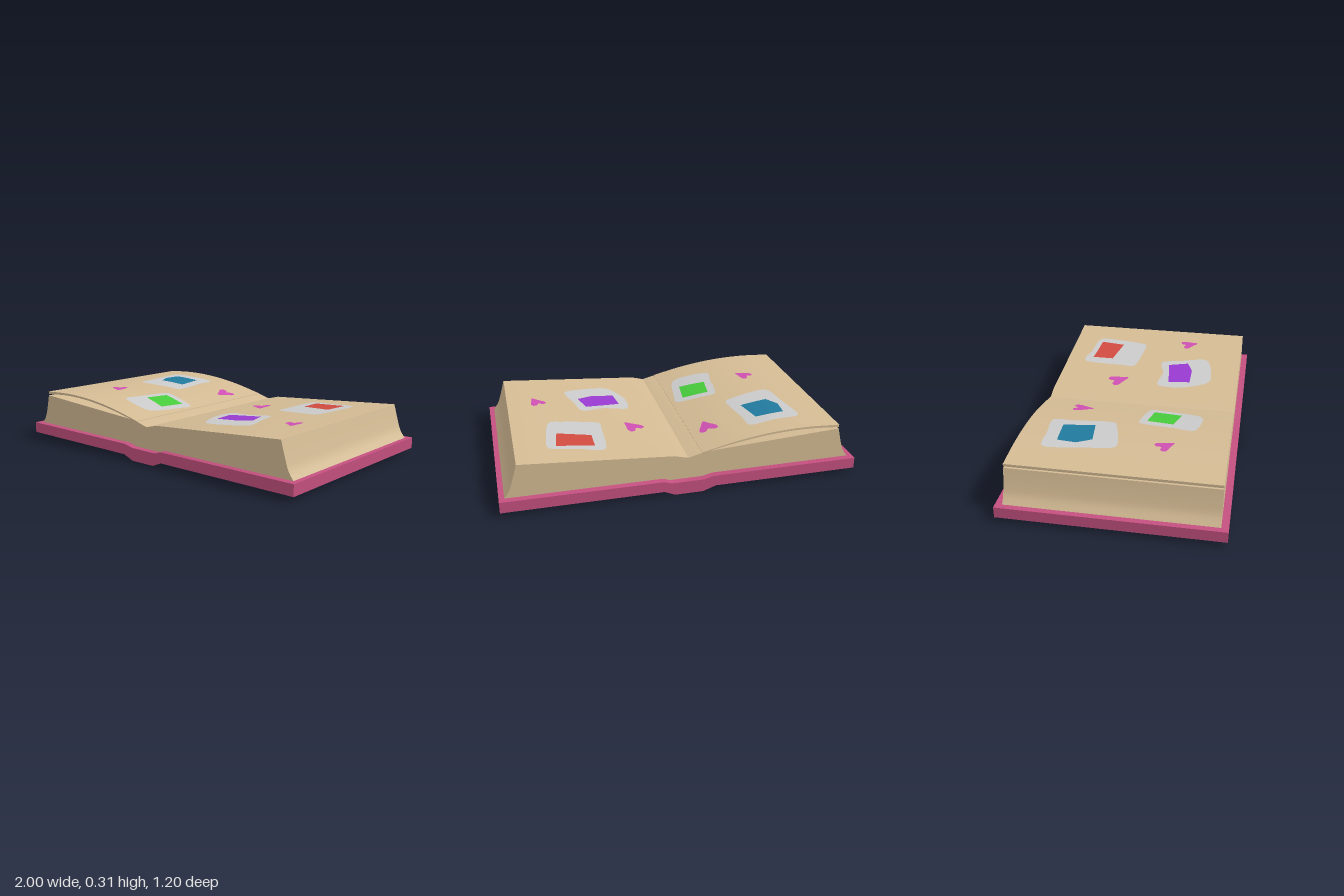
import * as THREE from 'three';
import { toCreasedNormals } from 'three/addons/utils/BufferGeometryUtils.js';

const material = (name, color, side = THREE.FrontSide) => {
  const m = new THREE.MeshStandardMaterial({ color, side });
  m.name = name;
  return m;
};
const v2 = ([x, y]) => new THREE.Vector2(x, y);
const smooth = (pts, n) => new THREE.SplineCurve(pts.map(v2)).getPoints(n).map(p => [p.x, p.y]);

// Closed x-y cross-section swept along z, centred on z = 0
function sweep(name, profile, depth, mat) {
  const geo = new THREE.ExtrudeGeometry(new THREE.Shape(profile.map(v2)), { depth, bevelEnabled: false });
  geo.translate(0, 0, -depth / 2);
  const mesh = new THREE.Mesh(toCreasedNormals(geo, 0.35), mat);
  mesh.name = name;
  return mesh;
}

// Height of a left-to-right polyline at x
function heightAt(line, x) {
  for (let i = 1; i < line.length; i++) {
    const [x0, y0] = line[i - 1], [x1, y1] = line[i];
    if (x <= x1) return y0 + (y1 - y0) * (x - x0) / (x1 - x0);
  }
  return line[line.length - 1][1];
}

// Flat x-z outline laid over the page surface, built as rings around its centre
function decal(name, outline, surface, lift, mat) {
  const n = outline.length, rings = 8, pos = [], index = [];
  const cx = outline.reduce((s, p) => s + p[0], 0) / n;
  const cz = outline.reduce((s, p) => s + p[1], 0) / n;
  for (let r = 0; r <= rings; r++) {
    for (const [px, pz] of outline) {
      const x = cx + (px - cx) * r / rings, z = cz + (pz - cz) * r / rings;
      pos.push(x, heightAt(surface, x) + lift, z);
    }
  }
  for (let r = 0; r < rings; r++) {
    for (let i = 0; i < n; i++) {
      const a = r * n + i, b = r * n + (i + 1) % n, c = a + n, d = b + n;
      if (r > 0) index.push(a, b, d);
      index.push(a, d, c);
    }
  }
  const geo = new THREE.BufferGeometry();
  geo.setAttribute('position', new THREE.Float32BufferAttribute(pos, 3));
  geo.setIndex(index);
  geo.computeVertexNormals();
  const mesh = new THREE.Mesh(geo, mat);
  mesh.name = name;
  return mesh;
}

// Rounded closed outline through a few corners
const blob = pts => new THREE.CatmullRomCurve3(
  pts.map(([x, z]) => new THREE.Vector3(x, 0, z)), true, 'catmullrom', 0.4
).getPoints(40).slice(0, -1).map(p => [p.x, p.z]);

// Straight sides split into short steps so they follow the page
const straight = pts => pts.flatMap(([x, z], i) => {
  const [x1, z1] = pts[(i + 1) % pts.length];
  return [0, 1, 2, 3, 4, 5].map(k => [x + (x1 - x) * k / 6, z + (z1 - z) * k / 6]);
});

// Heart outline, tip towards +z before turning
function heart(x, z, turn, size) {
  const half = [[0, -0.28], [0.2, -0.48], [0.43, -0.44], [0.45, -0.2], [0.24, 0.16]];
  const pts = [...half, [0, 0.55], ...half.slice(1).reverse().map(([a, b]) => [-a, b])];
  const c = Math.cos(turn), s = Math.sin(turn);
  return blob(pts.map(([a, b]) => [x + size * (a * c + b * s), z + size * (b * c - a * s)]));
}

export function createModel() {
  const book = new THREE.Group();
  book.name = 'openBook';
  const cover = material('cover pink', 0xc4507f);
  const paper = material('paper tan', 0xd4bb94);
  const double = THREE.DoubleSide;
  const card = material('card grey', 0xcbcbcb, double);
  const pink = material('heart pink', 0xcf50b2, double);
  const blue = material('picture blue', 0x217a9e, double);
  const red = material('picture red', 0xd14b40, double);
  const green = material('picture green', 0x48cc3c, double);
  const purple = material('picture purple', 0x983bd0, double);

  // Cover boards with the sunken spine
  book.add(sweep('cover', [
    [-1, 0.026], [-0.17, 0.026], [-0.1, 0], [0.06, 0], [0.12, 0.026], [1, 0.026],
    [1, 0.089], [0.12, 0.088], [0.08, 0.074], [-0.1, 0.074], [-0.16, 0.088], [-1, 0.089],
  ], 1.2, cover));

  // Page block with flared fore-edges and the centre fold
  const rightTop = [[-0.022, 0.199], [0.055, 0.219], [0.895, 0.279]];
  const rightEdge = smooth([[0.895, 0.279], [0.918, 0.2], [0.94, 0.135], [0.972, 0.087]], 10);
  const leftEdge = smooth([[-0.97, 0.087], [-0.938, 0.135], [-0.917, 0.2], [-0.9, 0.271]], 10);
  book.add(sweep('pageBlock', [
    ...leftEdge, [-0.12, 0.225], ...rightTop, ...rightEdge.slice(1),
    [0.12, 0.087], [0.08, 0.072], [-0.1, 0.072], [-0.16, 0.087],
  ], 1.124, paper));

  // Lifted page arching over the left half
  const leftTop = smooth([[-0.9, 0.295], [-0.7, 0.304], [-0.5, 0.295], [-0.3, 0.267], [-0.1, 0.222]], 28);
  const underside = smooth([[-0.1, 0.217], [-0.3, 0.257], [-0.5, 0.284], [-0.7, 0.292], [-0.9, 0.28]], 28);
  book.add(sweep('liftedPage', [...leftTop, ...underside].reverse(), 1.124, paper));

  // Pictures on torn cards
  const pictures = [
    ['blue', blue, leftTop,
      [[-0.72, -0.405], [-0.58, -0.42], [-0.42, -0.43], [-0.41, -0.32], [-0.385, -0.1],
        [-0.45, -0.06], [-0.63, -0.02], [-0.68, -0.05], [-0.7, -0.2]],
      [[-0.65, -0.345], [-0.48, -0.355], [-0.45, -0.18], [-0.615, -0.16], [-0.66, -0.24]]],
    ['green', green, leftTop,
      [[-0.37, 0.06], [-0.3, 0.05], [-0.135, 0.08], [-0.135, 0.17], [-0.17, 0.36],
        [-0.24, 0.395], [-0.405, 0.365], [-0.395, 0.25]],
      [[-0.33, 0.09], [-0.175, 0.11], [-0.195, 0.27], [-0.35, 0.24]]],
    ['red', red, rightTop,
      [[0.41, -0.44], [0.55, -0.425], [0.71, -0.4], [0.71, -0.26], [0.68, -0.09],
        [0.6, -0.08], [0.4, -0.11], [0.39, -0.2]],
      [[0.46, -0.4], [0.54, -0.39], [0.67, -0.38], [0.65, -0.23], [0.46, -0.27]]],
    ['purple', purple, rightTop,
      [[0.185, 0.07], [0.33, 0.085], [0.46, 0.06], [0.495, 0.18], [0.53, 0.345], [0.36, 0.39],
        [0.25, 0.375], [0.175, 0.22]],
      [[0.225, 0.135], [0.43, 0.11], [0.465, 0.23], [0.38, 0.265], [0.24, 0.265]]],
  ];
  for (const [name, mat, surface, cardLine, pictureLine] of pictures) {
    book.add(decal(name + 'Card', blob(cardLine), surface, 0.0015, card));
    book.add(decal(name + 'Picture', straight(pictureLine), surface, 0.0035, mat));
  }

  // Hearts scattered between the pictures
  const hearts = [
    [-0.2, -0.31, 0.05, 0.115, leftTop], [-0.608, 0.233, 0.7, 0.1, leftTop],
    [0.21, -0.177, 0.55, 0.115, rightTop], [0.72, 0.213, 0.4, 0.1, rightTop],
  ];
  hearts.forEach(([x, z, turn, size, surface], i) =>
    book.add(decal('heart' + (i + 1), heart(x, z, turn, size), surface, 0.002, pink)));
  return book;
}
